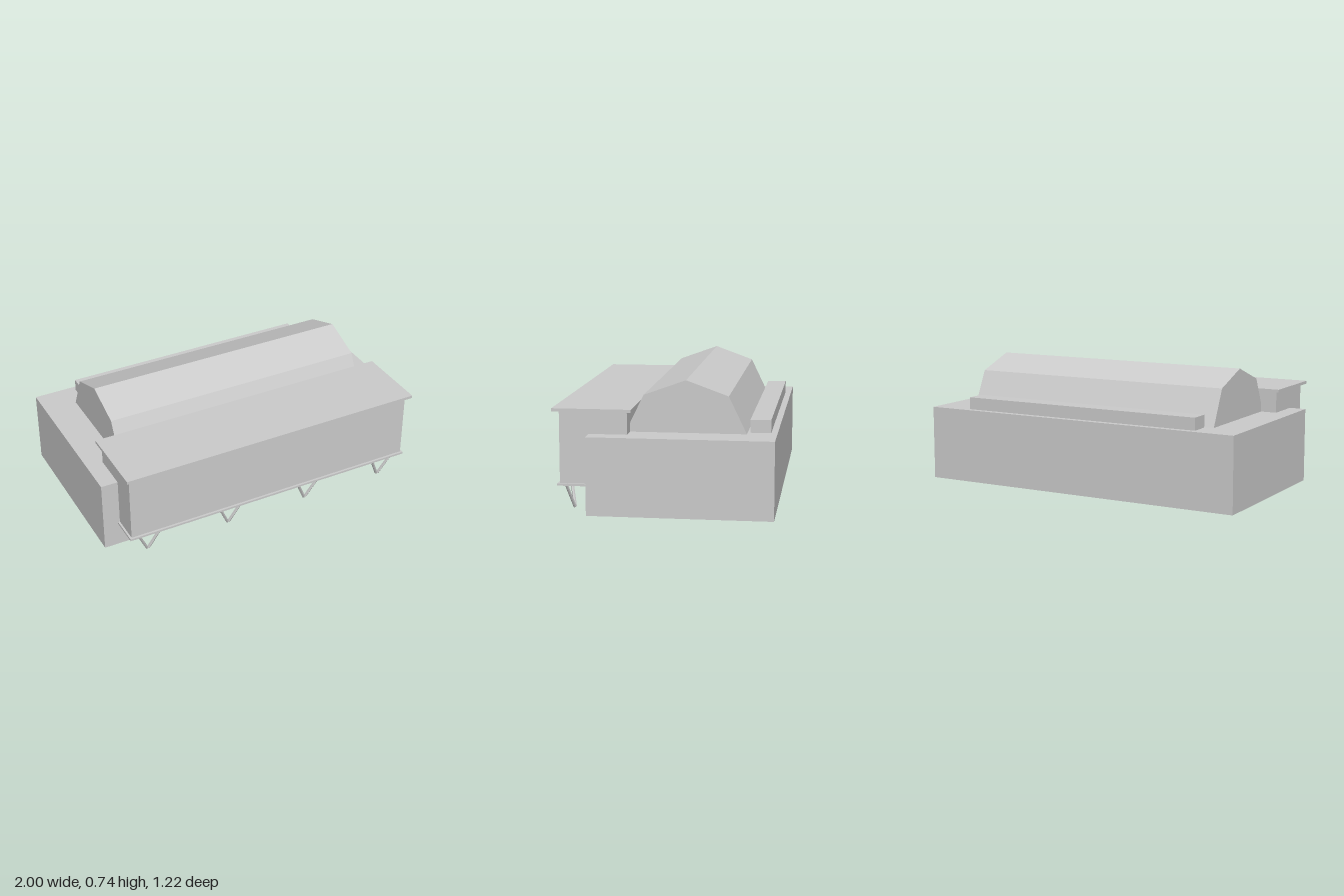
import * as THREE from 'three';

export function createModel() {
  const model = new THREE.Group();
  model.name = 'building';
  const grey = new THREE.MeshStandardMaterial({ color: 0xcccccc, side: THREE.DoubleSide, flatShading: true });
  grey.name = 'plain grey';

  const add = (name, geometry, parent = model) => {
    const mesh = new THREE.Mesh(geometry, grey);
    mesh.name = name;
    parent.add(mesh);
    return mesh;
  };
  // Box centred on x, given by its half width and its y and z ranges
  const block = (name, halfX, y0, y1, z0, z1) => {
    const mesh = add(name, new THREE.BoxGeometry(halfX * 2, y1 - y0, z1 - z0));
    mesh.position.set(0, (y0 + y1) / 2, (z0 + z1) / 2);
    return mesh;
  };

  // Main hall: a shell open underneath (bottom face dropped from the index)
  const hall = block('mainHall', 1, 0.007, 0.443, -0.612, 0.413);
  const index = Array.from(hall.geometry.index.array);
  index.splice(18, 6);
  hall.geometry.setIndex(index);
  hall.geometry.clearGroups();

  // Front bay with its overhanging roof and floor slabs
  block('frontBay', 0.9, 0.163, 0.568, 0.2, 0.577);
  block('frontBayRoof', 0.925, 0.568, 0.585, 0.174, 0.613);
  block('frontBayFloor', 0.912, 0.151, 0.163, 0.187, 0.59);

  // Long low box on the rear of the roof
  block('rearRoofBox', 0.752, 0.443, 0.515, -0.576, -0.461);

  // Faceted roof vault, extruded along x; shape x becomes -z
  const profile = [[-0.223, 0.443], [-0.123, 0.65], [0.112, 0.735], [0.347, 0.65], [0.447, 0.443]];
  const vaultShape = new THREE.Shape(profile.map(([x, y]) => new THREE.Vector2(x, y)));
  const vault = new THREE.ExtrudeGeometry(vaultShape, { depth: 1.608, bevelEnabled: false });
  vault.translate(0, 0, -0.804).rotateY(Math.PI / 2);
  add('roofVault', vault);

  // V-shaped props under the front bay
  const up = new THREE.Vector3(0, 1, 0);
  for (const x of [-0.78, -0.26, 0.26, 0.78]) {
    const prop = new THREE.Group();
    prop.name = 'frontProp';
    prop.position.x = x;
    for (const side of [-1, 1]) {
      const foot = new THREE.Vector3(side * 0.004, 0.004, 0.519);
      const head = new THREE.Vector3(side * 0.075, 0.155, 0.555);
      const span = head.clone().sub(foot);
      const strut = add('propStrut', new THREE.CylinderGeometry(0.009, 0.009, span.length(), 6), prop);
      strut.position.copy(foot).addScaledVector(span, 0.5);
      strut.quaternion.setFromUnitVectors(up, span.normalize());
    }
    model.add(prop);
  }
  return model;
}
